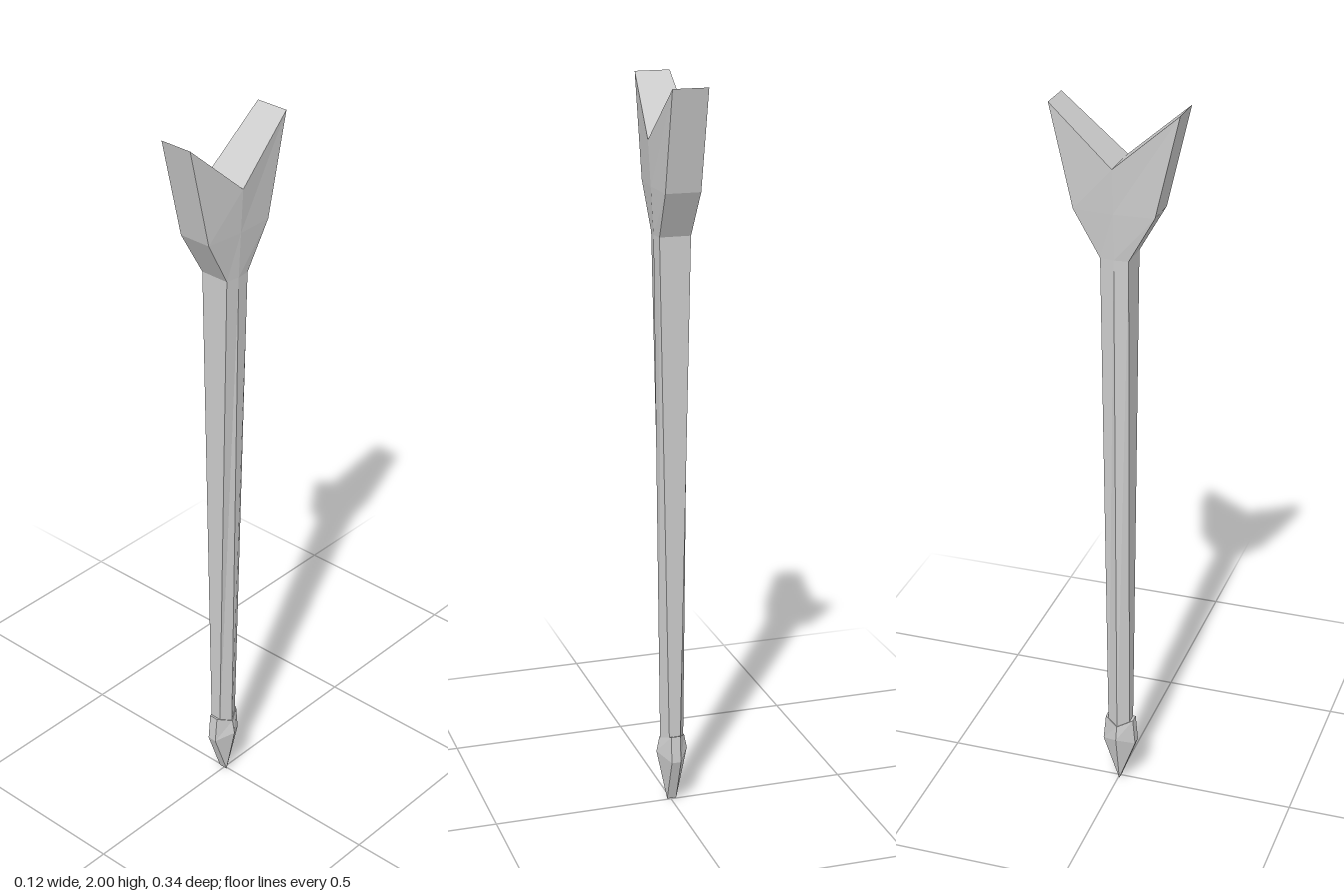
import * as THREE from 'three';

const material = new THREE.MeshStandardMaterial({ color: 0xcccccc, flatShading: true });

// Six-sided ring: flat front and back faces (half width a, depth z, height y)
// and a ridge on each side (half width b, height ridgeY), around (cx, cz).
function ring({ a, z, y, b, ridgeY = y, cx = 0, cz = 0 }) {
  return [[b, ridgeY, 0], [a, y, z], [-a, y, z], [-b, ridgeY, 0], [-a, y, -z], [a, y, -z]]
    .map(([px, py, pz]) => new THREE.Vector3(px + cx, py, pz + cz));
}

// Skins a stack of rings from bottom to top; the cap folds along the two ridges.
function loft(name, sections, capTop) {
  const rings = sections.map(ring);
  const points = [];
  const tri = (p, q, r) => {
    if (new THREE.Triangle(p, q, r).getArea() > 1e-9) points.push(p, q, r);
  };
  for (let k = 0; k < rings.length - 1; k++) {
    const lo = rings[k], hi = rings[k + 1];
    for (let i = 0; i < 6; i++) {
      const j = (i + 1) % 6;
      tri(lo[i], hi[i], lo[j]);
      tri(hi[i], hi[j], lo[j]);
    }
  }
  if (capTop) {
    const t = rings[rings.length - 1];
    for (const [p, q, r] of [[0, 3, 2], [0, 2, 1], [3, 0, 5], [3, 5, 4]]) tri(t[p], t[q], t[r]);
  }
  const geometry = new THREE.BufferGeometry().setFromPoints(points);
  geometry.computeVertexNormals();
  const mesh = new THREE.Mesh(geometry, material);
  mesh.name = name;
  return mesh;
}

export function createModel() {
  const group = new THREE.Group();
  group.name = 'forkedShaft';

  // Forked end with a V notch
  const neck = { a: 0.042, z: 0.038, y: 1.605, b: 0.047 };
  const fork = loft('fork', [
    neck,
    { a: 0.047, z: 0.108, y: 1.73, b: 0.054 },
    { a: 0.047, z: 0.17, y: 2, b: 0.061, ridgeY: 1.85 },
  ], true);

  // Long shaft, slimming toward the point
  const shaft = loft('shaft', [
    { a: 0.015, z: 0.031, y: 0.15, b: 0.033, cx: -0.003, cz: 0.004 },
    neck,
  ], false);

  // Faceted point ending in a short chisel edge
  const offset = { cx: -0.003, cz: 0.004 };
  const point = loft('point', [
    { a: 0.013, z: 0, y: 0, b: 0.013, ...offset },
    { a: 0.013, z: 0.047, y: 0.13, b: 0.044, ridgeY: 0.15, ...offset },
    { a: 0.013, z: 0.04, y: 0.205, b: 0.036, ridgeY: 0.19, ...offset },
  ], true);

  // Slight twist of the whole piece
  for (const part of [fork, shaft, point]) {
    part.rotation.y = -0.018;
    group.add(part);
  }
  return group;
}
